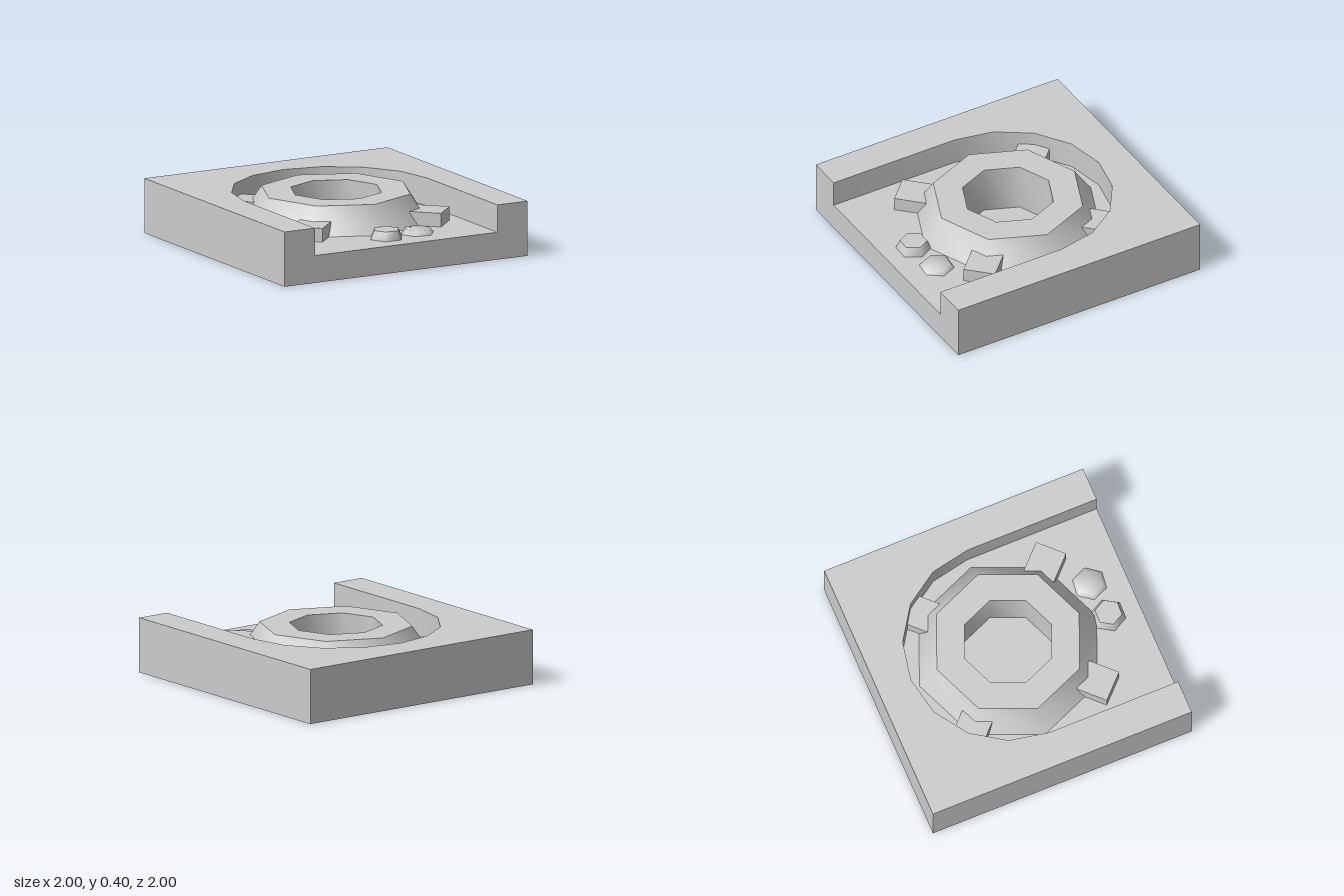
import * as THREE from 'three';
import { toCreasedNormals } from 'three/addons/utils/BufferGeometryUtils.js';

const FLOOR = 0.2, TOP = 0.4, WELL_FLOOR = 0.04;

export function createModel() {
  const group = new THREE.Group();
  const material = new THREE.MeshStandardMaterial({ color: 0xcccccc });

  const add = (name, geometry, x = 0, y = 0, z = 0, turn = 0) => {
    const mesh = new THREE.Mesh(toCreasedNormals(geometry, 1.0), material);
    mesh.name = name;
    mesh.position.set(x, y, z);
    mesh.rotation.y = turn;
    group.add(mesh);
    return mesh;
  };

  // Extrudes a plan outline upward (outline y points to the back)
  const slab = (shape, depth) =>
    new THREE.ExtrudeGeometry(shape, { depth, bevelEnabled: false }).rotateX(-Math.PI / 2);

  const polygon = (r, sides) => Array.from({ length: sides }, (_, i) => {
    const a = (i / sides) * Math.PI * 2;
    return new THREE.Vector2(r * Math.cos(a), r * Math.sin(a));
  });

  // Tile base: closed bottom plate and channel floor, opened under the well
  add('bottomPlate', new THREE.BoxGeometry(2, WELL_FLOOR, 2), 0, WELL_FLOOR / 2, 0);
  const floorShape = new THREE.Shape([[-1, -1], [1, -1], [1, 1], [-1, 1]].map(p => new THREE.Vector2(...p)));
  floorShape.holes.push(new THREE.Path(polygon(0.45, 8)));
  add('channelFloor', slab(floorShape, FLOOR - WELL_FLOOR), 0, WELL_FLOOR, 0);

  // Raised surround with a round-backed recess open at the front
  const rim = new THREE.Shape();
  rim.moveTo(-1, -1);
  rim.lineTo(-0.75, -1);
  for (let i = 0; i <= 8; i++) {
    const a = Math.PI * (1 - i / 8);
    rim.lineTo(0.75 * Math.cos(a), 0.75 * Math.sin(a));
  }
  rim.lineTo(0.75, -1);
  rim.lineTo(1, -1);
  rim.lineTo(1, 1);
  rim.lineTo(-1, 1);
  rim.closePath();
  add('surround', slab(rim, TOP - FLOOR), 0, FLOOR, 0);

  // Octagonal well: sloped outside, flat lip, straight shaft and shaft floor
  const profile = [[0.685, FLOOR], [0.55, TOP], [0.335, TOP], [0.335, WELL_FLOOR + 0.005], [0, WELL_FLOOR + 0.005]];
  add('well', new THREE.LatheGeometry(profile.map(p => new THREE.Vector2(...p)), 8));

  // Four diagonal buttress blocks
  for (const sx of [-1, 1]) for (const sz of [-1, 1]) {
    add('buttress', new THREE.BoxGeometry(0.232, 0.1, 0.232), sx * 0.487, FLOOR + 0.05, sz * 0.49, Math.PI / 4);
  }

  // Two tapered hexagonal stones in front of the well
  const stone = (x, z, height, degrees) => add('stone',
    new THREE.CylinderGeometry(0.098, 0.126, height, 6, 1, false, Math.PI / 2),
    x, FLOOR + height / 2, z, -degrees * Math.PI / 180);
  stone(-0.028, 0.765, 0.065, 2);
  stone(0.245, 0.733, 0.035, 7);

  return group;
}
